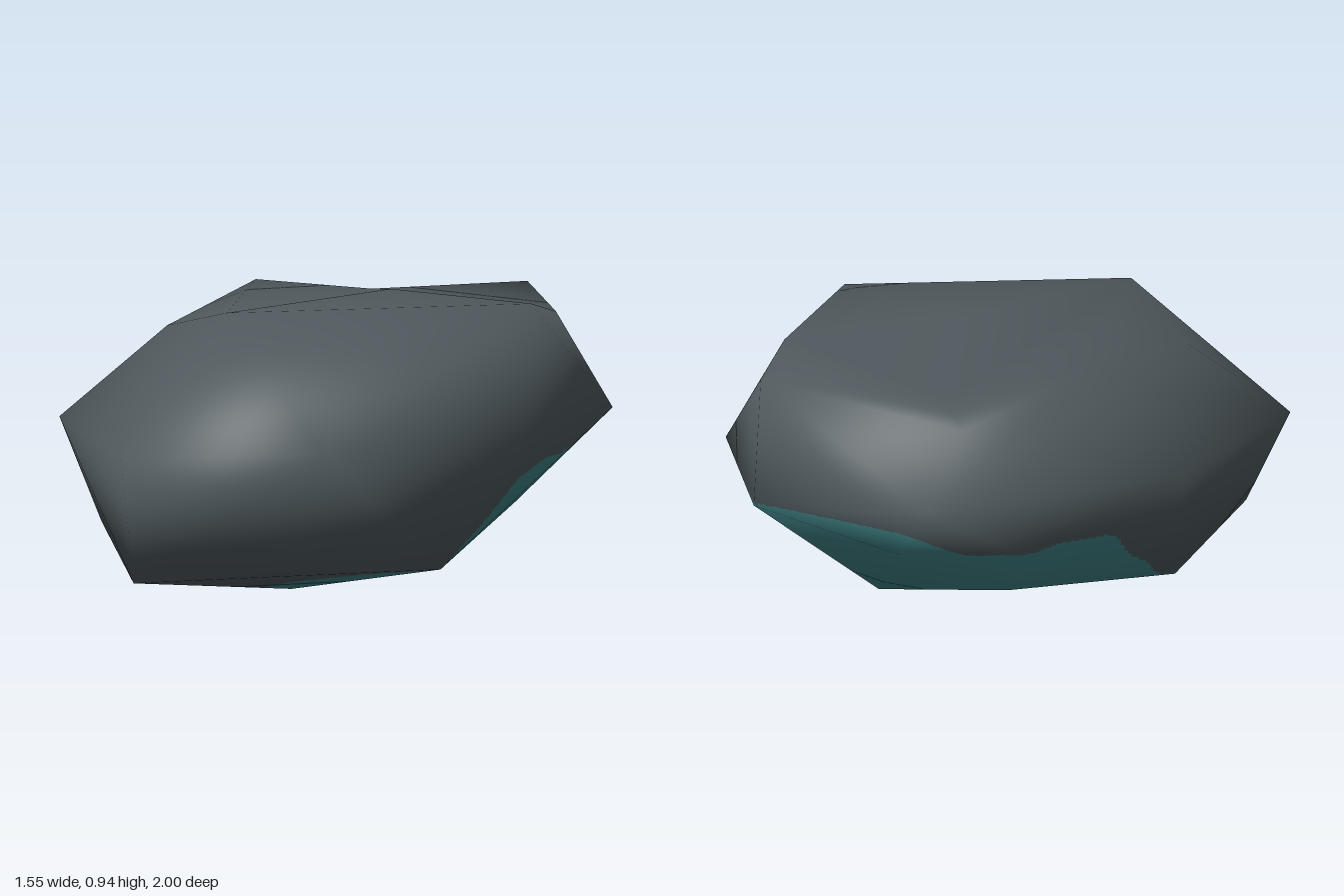
import * as THREE from 'three';

const stone = new THREE.MeshStandardMaterial({ color: 0x4e585c });
stone.name = 'dark stone';
const teal = new THREE.MeshStandardMaterial({ color: 0x3f8184 });
teal.name = 'teal stain';

// Corner points of the boulder, keyed by direction: L/R (-x/+x), D/U (down/up), B/F (back/front)
const P = {
  L: [-0.78, 0.585, 0.03], R: [0.775, 0.615, 0],
  D: [0, 0, 0.25], U: [0.03, 0.94, -0.2],
  B: [0.01, 0.51, -1], F: [0.03, 0.555, 1],
  RD: [0.57, 0.155, 0.18], RU: [0.59, 0.94, -0.23],
  LU: [-0.59, 0.92, -0.19], LD: [-0.58, 0.15, 0.2],
  RB: [0.54, 0.53, -0.755], RF: [0.61, 0.61, 0.745],
  LF: [-0.55, 0.57, 0.745], LB: [-0.53, 0.585, -0.76],
  DF: [0.02, 0.165, 0.95], DB: [-0.02, 0.125, -0.565],
  UB: [0.02, 0.895, -0.95], UF: [0.03, 0.94, 0.56],
  // one bulge in each octant
  LDF: [-0.42, 0.235, 0.69], LDB: [-0.45, 0.215, -0.39],
  RDF: [0.42, 0.27, 0.65], RDB: [0.4, 0.24, -0.41],
  LUF: [-0.41, 0.84, 0.4], LUB: [-0.55, 0.81, -0.64],
  RUF: [0.45, 0.87, 0.38], RUB: [0.41, 0.86, -0.6],
  // shallow dent in the top, a knob low on the left side and a heel behind it
  dent: [-0.4, 0.865, -0.585], knob: [-0.66, 0.44, -0.53], heel: [-0.475, 0.455, -0.82],
};

// Upper limit of the stain along z
const stainLine = [[0.42, 0.06], [0.4, 0.11], [0.3, 0.14], [0.15, 0.165], [0, 0.27], [-0.15, 0.4],
  [-0.25, 0.43], [-0.63, 0.43], [-0.8, 0.51], [-1.01, 0.515]];

function isStained(p) {
  const z = p.z + 0.006 * Math.sin(p.x * 23 + p.y * 11);
  if (z > stainLine[0][0]) return false;
  for (let i = 1; i < stainLine.length; i++) {
    const [z0, y0] = stainLine[i - 1], [z1, y1] = stainLine[i];
    if (z >= z1) return p.y < y0 + (y1 - y0) * (z0 - z) / (z0 - z1) + 0.005 * Math.sin(p.z * 31 + p.x * 9);
  }
  return true;
}

// Triangles from one point to each side of a closed ring
const fan = (middle, ring) => ring.map((k, i) => [middle, k, ring[(i + 1) % ring.length]]);

// Eight octants, each with three tips and a middle fan; dent, knob and heel replace a few triangles
function boulderFaces() {
  const faces = [
    ...fan('dent', ['U', 'RUB', 'UB', 'LUB', 'LU', 'UF']),
    ...fan('knob', ['L', 'LD', 'LDB', 'LB']),
    ...fan('heel', ['LB', 'B', 'DB', 'LDB', 'knob']),
    ['U', 'RU', 'RUB'],
  ];
  for (const a of 'LR') for (const b of 'DU') for (const c of 'BF') {
    const ab = a + b, ac = a + c, bc = b + c;
    faces.push([a, ab, ac], [b, ab, bc], [c, ac, bc], ...fan(ab + c, [ab, ac, bc]));
  }
  const replaced = ['U LU UB', 'U RU UB', 'U LU UF', 'RUB UB RU', 'LUB UB LU',
    'L LD LB', 'LDB LD LB', 'B LB DB', 'LDB LB DB', 'knob LDB LB'];
  return faces.filter(f => !replaced.includes(f.join(' ')));
}

export function createModel() {
  const group = new THREE.Group();
  group.name = 'boulder';
  const keys = Object.keys(P);
  const pts = keys.map(k => new THREE.Vector3(...P[k]));
  const normals = pts.map(() => new THREE.Vector3());
  const centre = new THREE.Vector3(0, 0.5, 0);

  // Orient each face outward and gather smooth normals
  const faces = boulderFaces().map(f => {
    const t = f.map(k => keys.indexOf(k));
    const [a, b, c] = t.map(i => pts[i]);
    const n = b.clone().sub(a).cross(c.clone().sub(a));
    const m = a.clone().add(b).add(c).divideScalar(3).sub(centre);
    if (n.dot(m) < 0) { n.negate(); t.reverse(); }
    t.forEach(i => normals[i].add(n));
    return t;
  });
  normals.forEach(n => n.normalize());

  // Cut each face finely so that the stain gets a clean winding edge
  const N = 40;
  const parts = { stone: { p: [], n: [] }, stain: { p: [], n: [] } };
  for (const t of faces) {
    const blend = (list, i, j) => new THREE.Vector3()
      .addScaledVector(list[t[0]], (N - i - j) / N)
      .addScaledVector(list[t[1]], i / N)
      .addScaledVector(list[t[2]], j / N);
    const addTriangle = cells => {
      const v = cells.map(([i, j]) => blend(pts, i, j));
      const m = v[0].clone().add(v[1]).add(v[2]).divideScalar(3);
      const part = isStained(m) ? parts.stain : parts.stone;
      cells.forEach(([i, j], k) => {
        part.p.push(...v[k].toArray());
        part.n.push(...blend(normals, i, j).normalize().toArray());
      });
    };
    for (let i = 0; i < N; i++) for (let j = 0; j < N - i; j++) {
      addTriangle([[i, j], [i + 1, j], [i, j + 1]]);
      if (i + j < N - 1) addTriangle([[i + 1, j], [i + 1, j + 1], [i, j + 1]]);
    }
  }

  const addMesh = (name, part, material) => {
    const g = new THREE.BufferGeometry();
    g.setAttribute('position', new THREE.Float32BufferAttribute(part.p, 3));
    g.setAttribute('normal', new THREE.Float32BufferAttribute(part.n, 3));
    const mesh = new THREE.Mesh(g, material);
    mesh.name = name;
    group.add(mesh);
  };
  addMesh('boulderStone', parts.stone, stone);
  addMesh('undersideStain', parts.stain, teal);
  return group;
}
